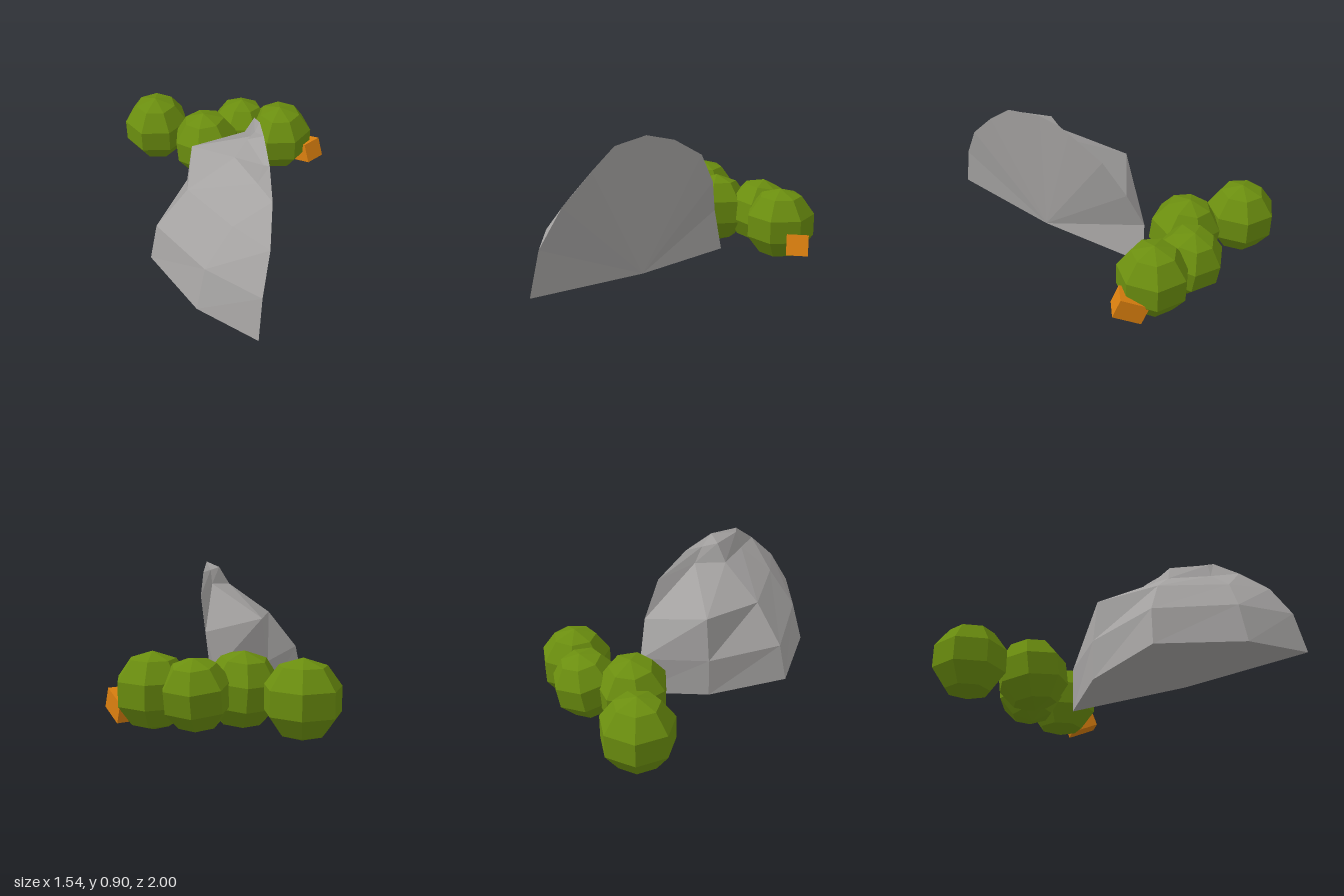
import * as THREE from 'three';

const flat = (name, color, extra = {}) => {
  const m = new THREE.MeshStandardMaterial({ color, flatShading: true, ...extra });
  m.name = name;
  return m;
};

// Split dome: five columns of points run around the rounded back, each from
// base to crown; a fan from the base centre closes the broken face and underside.
function domeGeometry() {
  const columns = [
    [[-0.67, 0.155, 1.0], [-0.62, 0.41, 0.965], [-0.51, 0.62, 0.893], [-0.385, 0.78, 0.765], [-0.295, 0.885, 0.64]],
    [[-0.775, 0.14, 0.62], [-0.705, 0.39, 0.61], [-0.535, 0.61, 0.635], [-0.34, 0.77, 0.6], [-0.3, 0.87, 0.6]],
    [[-0.725, 0.105, 0.12], [-0.675, 0.334, 0.13], [-0.51, 0.57, 0.217], [-0.28, 0.76, 0.35], [-0.22, 0.87, 0.38]],
    [[-0.28, 0.065, -0.11], [-0.275, 0.304, -0.11], [-0.25, 0.57, -0.08], [-0.1, 0.77, 0.27], [-0.13, 0.855, 0.34]],
    [[0.185, 0.035, -0.15], [0.14, 0.29, -0.16], [0.14, 0.51, -0.05], [0.09, 0.715, 0.09], [-0.04, 0.845, 0.28]],
  ];
  const apex = [-0.165, 0.905, 0.45];
  const centre = [-0.2, 0.09, 0.45];
  const pos = [];
  const tri = (a, b, c) => pos.push(...a, ...b, ...c);

  for (let i = 0; i < 4; i++) {
    const right = columns[i], left = columns[i + 1];
    // rounded shell
    for (let k = 0; k < 4; k++) {
      tri(left[k], right[k], right[k + 1]);
      tri(left[k], right[k + 1], left[k + 1]);
    }
    // crown and underside
    tri(left[4], right[4], apex);
    tri(centre, right[0], left[0]);
  }
  // broken face
  const edge = [...columns[0], apex, ...[...columns[4]].reverse()];
  for (let i = 0; i < edge.length - 1; i++) tri(centre, edge[i + 1], edge[i]);

  const g = new THREE.BufferGeometry();
  g.setAttribute('position', new THREE.Float32BufferAttribute(pos, 3));
  g.computeVertexNormals();
  return g;
}

export function createModel() {
  const model = new THREE.Group();
  model.name = 'rockAndBushes';
  const stone = flat('stone grey', 0xa5a3a2, { side: THREE.DoubleSide });
  const leaf = flat('leaf green', 0x6b8e0f);
  const orange = flat('orange', 0xdc800f);

  const add = (name, geometry, material, position, rotation = [0, 0, 0]) => {
    const mesh = new THREE.Mesh(geometry, material);
    mesh.name = name;
    mesh.position.set(...position);
    mesh.rotation.set(...rotation);
    model.add(mesh);
  };

  add('splitDome', domeGeometry(), stone, [0, 0, 0]);

  // row of round bushes: radius, position, rotation
  const bushes = [
    [0.225, [-0.02, 0.225, -0.79], [0, Math.PI, 0]],
    [0.225, [0.117, 0.227, -0.413], [-0.12, Math.PI / 2, 0]],
    [0.21, [0.405, 0.228, -0.397], [-0.1, Math.PI, 0.14]],
    [0.225, [0.553, 0.225, -0.17], [0, Math.PI, 0]],
  ];
  bushes.forEach(([r, p, rot], i) =>
    add(`bush${i + 1}`, new THREE.SphereGeometry(r, 7, 5), leaf, p, rot));

  // tilted block leaning on the last bush
  add('block', new THREE.BoxGeometry(0.132, 0.128, 0.175), orange, [0.671, 0.132, -0.027], [-0.37, 0, 0]);

  return model;
}
